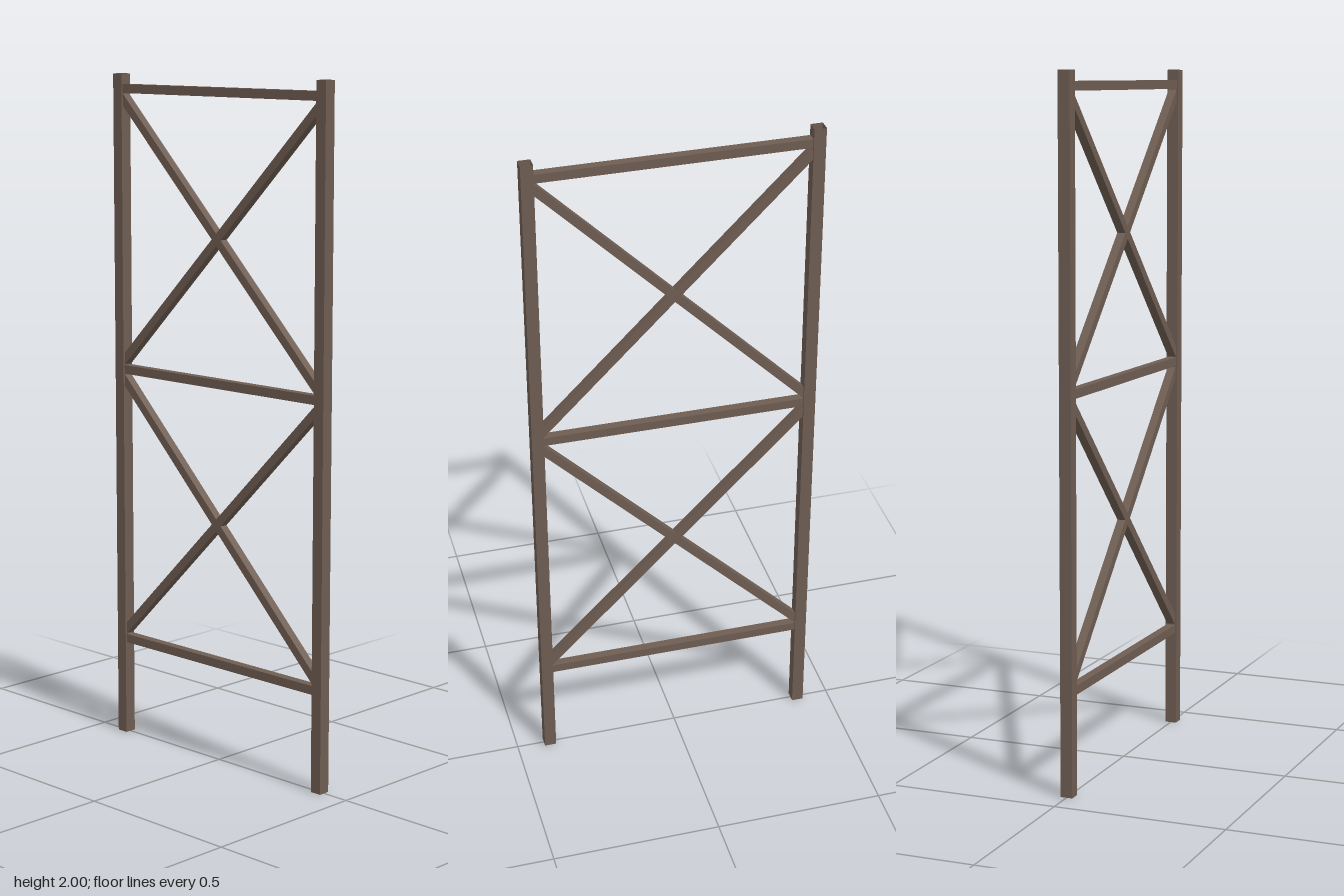
import * as THREE from 'three';

export function createModel() {
  const group = new THREE.Group();
  group.name = 'bracedFrame';
  const brownSteel = new THREE.MeshStandardMaterial({ color: 0x6e5d52, flatShading: true, side: THREE.DoubleSide });
  brownSteel.name = 'brownSteel';

  // Open-ended square tube between two points in the x-y plane
  function tube(name, x1, y1, x2, y2, width) {
    const length = Math.hypot(x2 - x1, y2 - y1);
    const geometry = new THREE.CylinderGeometry(width / Math.SQRT2, width / Math.SQRT2, length, 4, 1, true);
    geometry.rotateY(Math.PI / 4);
    const mesh = new THREE.Mesh(geometry, brownSteel);
    mesh.name = name;
    mesh.position.set((x1 + x2) / 2, (y1 + y2) / 2, 0);
    mesh.rotation.z = Math.atan2(y2 - y1, x2 - x1) - Math.PI / 2;
    group.add(mesh);
  }

  // Upright posts
  tube('leftPost', 0.4, 0, 0.4, 2, 0.035);
  tube('rightPost', -0.4, 0, -0.4, 2, 0.035);

  // Horizontal rails between the posts
  const railHeights = [0.298, 1.128, 1.957];
  for (const y of railHeights) tube('rail', -0.383, y, 0.383, y, 0.026);

  // Crossed braces in each bay
  const reach = 0.39;
  for (let i = 0; i < 2; i++) {
    const y = (railHeights[i] + railHeights[i + 1]) / 2;
    for (const s of [-1, 1]) tube('diagonalBrace', -reach, y - s * reach, reach, y + s * reach, 0.025);
  }
  return group;
}
